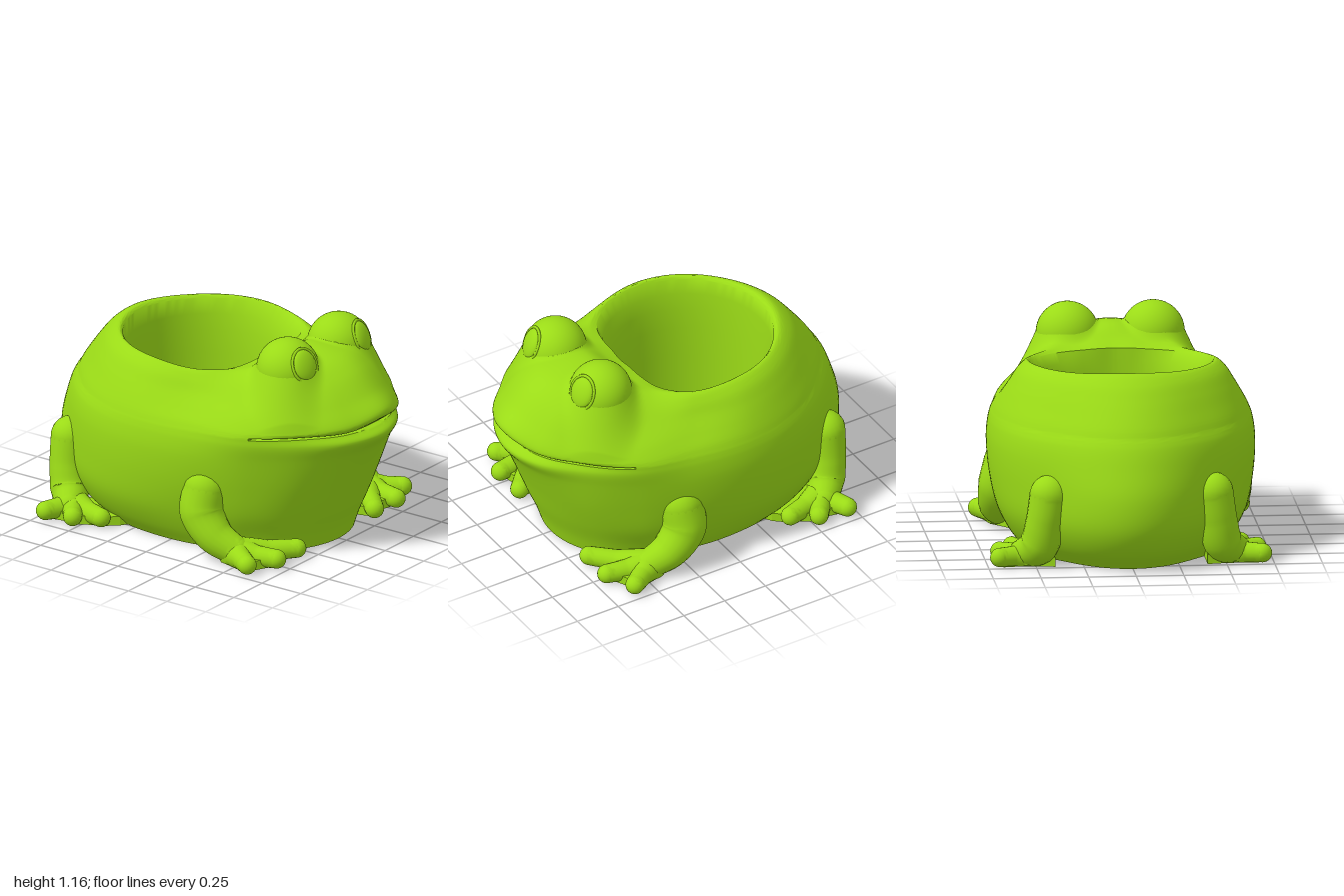
import * as THREE from 'three';
import { mergeGeometries, mergeVertices, toCreasedNormals } from 'three/addons/utils/BufferGeometryUtils.js';

const V = (x, y, z) => new THREE.Vector3(x, y, z);
const material = new THREE.MeshStandardMaterial({ color: 0x9bdb17, roughness: 0.6 });
const AXIS_Z = -0.15; // centre of the pot opening
const EYE = V(0.225, 0.99, 0.535);

// Vertical half profiles of the body at these angles, measured from the front.
const angles = [0, 11, 23, 40, 60, 90, 140, 180];
const lowerY = [0, 0.09, 0.22, 0.39, 0.56, 0.65, 0.69];
const lowerR = [
  [0.85, 0.88, 0.935, 1.0, 1.075, 1.13, 1.085],
  [0.835, 0.865, 0.92, 0.985, 1.052, 1.095, 1.065],
  [0.79, 0.82, 0.875, 0.935, 0.98, 1.0, 0.985],
  [0.69, 0.73, 0.79, 0.835, 0.87, 0.887, 0.885],
  [0.59, 0.645, 0.7, 0.745, 0.765, 0.76, 0.75],
  [0.52, 0.59, 0.655, 0.69, 0.7, 0.69, 0.68],
  [0.55, 0.64, 0.705, 0.72, 0.712, 0.693, 0.675],
  [0.66, 0.77, 0.84, 0.848, 0.8, 0.765, 0.742],
];
const upper = [
  [[1.08, 0.706], [1.15, 0.775], [1.065, 0.87], [0.96, 0.975], [0.85, 1.03], [0.62, 1.05], [0.5, 0.985], [0.43, 0.955]],
  [[1.07, 0.703], [1.1, 0.735], [1.03, 0.845], [0.935, 0.95], [0.83, 1.015], [0.63, 1.035], [0.5, 0.98], [0.43, 0.955]],
  [[0.985, 0.702], [1.0, 0.718], [0.945, 0.81], [0.87, 0.9], [0.775, 0.97], [0.63, 1.0], [0.52, 0.968], [0.45, 0.95]],
  [[0.885, 0.702], [0.878, 0.72], [0.825, 0.78], [0.72, 0.86], [0.635, 0.92], [0.57, 0.95], [0.53, 0.957], [0.49, 0.945]],
  [[0.745, 0.702], [0.725, 0.735], [0.675, 0.79], [0.61, 0.86], [0.57, 0.915], [0.537, 0.95], [0.517, 0.958], [0.498, 0.945]],
  [[0.675, 0.702], [0.66, 0.74], [0.63, 0.8], [0.59, 0.87], [0.545, 0.94], [0.5, 0.978], [0.485, 0.98], [0.474, 0.965]],
  [[0.665, 0.702], [0.648, 0.74], [0.615, 0.8], [0.57, 0.88], [0.522, 0.95], [0.475, 0.988], [0.457, 0.99], [0.443, 0.975]],
  [[0.73, 0.702], [0.71, 0.74], [0.67, 0.8], [0.61, 0.88], [0.55, 0.95], [0.48, 1.0], [0.45, 1.0], [0.435, 0.985]],
];

const polar = (a, r, y) => V(r * Math.sin(a), y, r * Math.cos(a) + AXIS_Z);

// Smooth curve of (angle, radius, height) all round, overlapping itself at the back.
function ring(pointAt) {
  const half = angles.map((deg, k) => V(deg * Math.PI / 180, ...pointAt(k)));
  const [beforeRear] = half.slice(-2);
  half.push(V(2 * Math.PI - beforeRear.x, beforeRear.y, beforeRear.z));
  const mirrored = half.slice(1).reverse().map(p => V(-p.x, p.y, p.z));
  const curve = new THREE.CatmullRomCurve3([...mirrored, ...half]);
  const spans = mirrored.length * 2;
  return u => {
    const p = curve.getPoint((1 + (spans - 2) * u) / spans);
    return polar(p.x, p.y, p.z);
  };
}

// Back wall of the mouth: a flat plane reached along the ray from the pot axis.
function mouthWall(p) {
  const depth = p.z - AXIS_Z, s = Math.min(1, 0.68 / Math.max(depth, 0.1));
  return V(p.x * s, p.y, depth * s + AXIS_Z);
}

// Raise the head into a soft fillet around each eye (smooth maximum with a cone).
function blendEye(p) {
  if (p.z < 0.32 || p.y < 0.74) return p;
  const d = Math.hypot(Math.abs(p.x) - EYE.x, p.z - EYE.z);
  const cone = Math.min(1.06, 1.0 - (d - 0.165) * 2.2);
  const h = Math.max(0.07 - Math.abs(p.y - cone), 0);
  return V(p.x, Math.max(p.y, cone) + h * h / 0.28, p.z);
}

function bodyGeometry() {
  const columns = 168;
  const lowerRings = lowerY.map((y, j) => ring(k => [lowerR[k][j], y]));
  const upperRings = upper[0].map((_, j) => ring(k => upper[k][j]));
  const positions = [], index = [];
  let rows = 0;
  for (let i = 0; i <= columns; i++) {
    const u = i / columns;
    const jaw = new THREE.CatmullRomCurve3(lowerRings.map(f => f(u))).getPoints(36);
    const head = new THREE.CatmullRomCurve3(upperRings.map(f => f(u))).getPoints(56);
    const rim = head[head.length - 1];
    const a = Math.atan2(rim.x, rim.z - AXIS_Z), r = Math.hypot(rim.x, rim.z - AXIS_Z);
    const wall = [[0.5, 0.89], [0.2, 0.8], [0.05, 0.68], [0, 0.5], [0, 0.1]]
      .map(([k, y]) => polar(a, THREE.MathUtils.lerp(0.425, r, k), y));
    const column = [
      V(0, 0, AXIS_Z), ...jaw,
      mouthWall(jaw[jaw.length - 1]), mouthWall(head[0]), // mouth slit
      ...head.map(blendEye),
      ...wall, V(0, 0.1, AXIS_Z), // pot wall and floor
    ];
    rows = column.length;
    column.forEach(p => positions.push(p.x, p.y, p.z));
  }
  for (let i = 0; i < columns; i++) {
    for (let j = 0; j < rows - 1; j++) {
      const a = i * rows + j, b = a + rows;
      index.push(a, b, b + 1, a, b + 1, a + 1);
    }
  }
  const g = new THREE.BufferGeometry();
  g.setAttribute('position', new THREE.Float32BufferAttribute(positions, 3));
  g.setIndex(index);
  return toCreasedNormals(g, 0.7);
}

// Tapered round limb along a smooth path, cut flat at the ground.
function limb(points, radii) {
  const curve = new THREE.CatmullRomCurve3(points.map(p => V(...p)));
  const steps = 24, sides = 18;
  const tube = new THREE.TubeGeometry(curve, steps, 1, sides);
  const pos = tube.attributes.position, v = V(0, 0, 0);
  for (let i = 0; i <= steps; i++) {
    const c = curve.getPointAt(i / steps);
    const t = curve.getUtoTmapping(i / steps) * (radii.length - 1);
    const k = Math.min(Math.floor(t), radii.length - 2);
    const r = THREE.MathUtils.lerp(radii[k], radii[k + 1], t - k);
    for (let s = 0; s <= sides; s++) {
      const n = i * (sides + 1) + s;
      v.fromBufferAttribute(pos, n).sub(c).multiplyScalar(r).add(c);
      pos.setXYZ(n, v.x, v.y, v.z);
    }
  }
  const ends = [0, points.length - 1].map(k =>
    new THREE.SphereGeometry(radii[k], 20, 14).translate(...points[k]));
  const g = mergeGeometries([tube, ...ends]);
  const p = g.attributes.position;
  for (let n = 0; n < p.count; n++) p.setY(n, Math.max(0, p.getY(n)));
  g.deleteAttribute('uv');
  g.deleteAttribute('normal');
  return toCreasedNormals(mergeVertices(g, 1e-5), 0.7);
}

// Thin flat web between the toes, given as [x, z] corners.
function web(corners) {
  const shape = new THREE.Shape(corners.map(([x, z]) => new THREE.Vector2(x, -z)));
  return new THREE.ExtrudeGeometry(shape, { depth: 0.05, bevelEnabled: false }).rotateX(-Math.PI / 2);
}

export function createModel() {
  const model = new THREE.Group();
  model.name = 'frogPlanter';
  const add = (parent, name, geometry) => {
    const mesh = new THREE.Mesh(geometry, material);
    mesh.name = name;
    parent.add(mesh);
    return mesh;
  };
  add(model, 'body', bodyGeometry());

  for (const [side, s] of [['left', 1], ['right', -1]]) {
    // Eyes
    const eye = new THREE.Group();
    eye.name = side + 'Eye';
    eye.position.set(s * EYE.x, EYE.y, EYE.z);
    model.add(eye);
    add(eye, 'eyeball', new THREE.SphereGeometry(0.166, 40, 28));
    const facing = V(s * 0.2, 0.38, 0.9).normalize();
    const turn = new THREE.Quaternion().setFromUnitVectors(V(0, 0, 1), facing);
    const pupil = add(eye, 'pupil', new THREE.SphereGeometry(1, 28, 18));
    pupil.scale.set(0.072, 0.085, 0.03);
    const lid = add(eye, 'eyelidRing', new THREE.TorusGeometry(0.084, 0.008, 8, 36));
    lid.scale.set(0.95, 1.08, 1);
    for (const part of [pupil, lid]) {
      part.quaternion.copy(turn);
      part.position.copy(facing).multiplyScalar(0.143);
    }

    // Legs, mirrored through x
    const leg = (name, path, radii, root, toes, webCorners) => {
      const group = new THREE.Group();
      group.name = side + name;
      model.add(group);
      const flip = p => [s * p[0], p[1], p[2]];
      add(group, 'limb', limb(path.map(flip), radii));
      for (const toe of toes) {
        const mid = root.map((c, i) => THREE.MathUtils.lerp(c, toe[i], 0.55));
        add(group, 'toe', limb([root, mid, toe].map(flip), [0.09, 0.055, 0.05]));
      }
      add(group, 'web', web(webCorners.map(([x, z]) => [s * x, z])));
    };
    leg('FrontLeg',
      [[0.57, 0.37, 0.255], [0.598, 0.24, 0.255], [0.61, 0.13, 0.34], [0.585, 0.06, 0.46]],
      [0.118, 0.122, 0.1, 0.078], [0.575, 0.045, 0.45],
      [[0.69, 0.05, 0.61], [0.53, 0.05, 0.685], [0.345, 0.05, 0.68]],
      [[0.45, 0.22], [0.55, 0.3], [0.64, 0.42], [0.68, 0.58], [0.61, 0.62], [0.53, 0.66], [0.44, 0.64], [0.35, 0.66], [0.3, 0.5]]);
    leg('HindLeg',
      [[0.43, 0.385, -0.72], [0.455, 0.24, -0.715], [0.485, 0.11, -0.685], [0.56, 0.055, -0.63]],
      [0.105, 0.1, 0.105, 0.078], [0.53, 0.045, -0.63],
      [[0.69, 0.05, -0.695], [0.675, 0.05, -0.53], [0.6, 0.05, -0.4]],
      [[0.4, -0.72], [0.55, -0.69], [0.67, -0.71], [0.65, -0.61], [0.66, -0.53], [0.62, -0.47], [0.59, -0.4], [0.53, -0.33], [0.4, -0.25]]);
  }
  return model;
}
